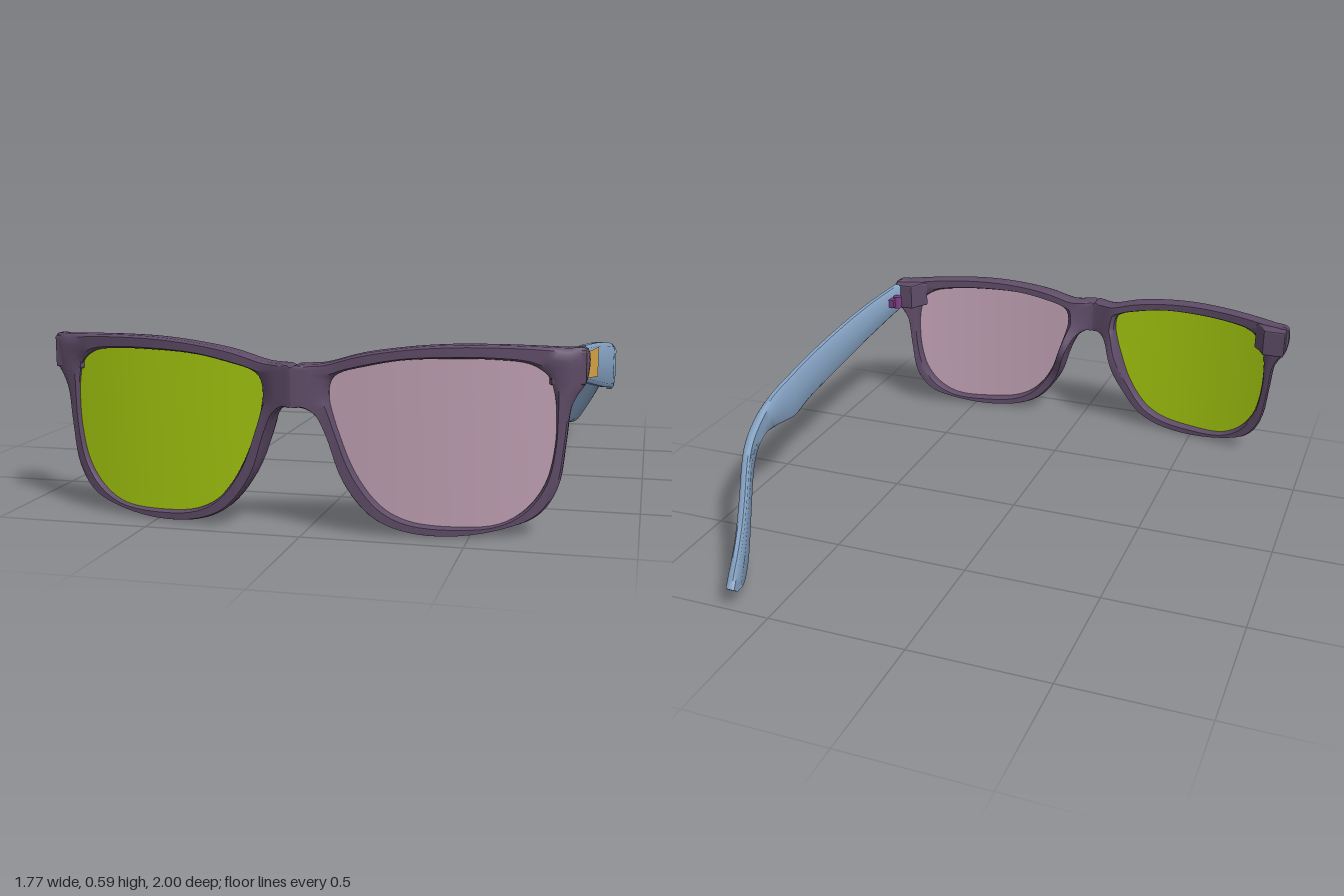
import * as THREE from 'three';
import { toCreasedNormals } from 'three/addons/utils/BufferGeometryUtils.js';

const CX = -0.025; // middle of the front frame
const { smoothstep, lerp } = THREE.MathUtils;
const mat = (color, side = THREE.FrontSide) => new THREE.MeshStandardMaterial({ color, side });

// Surface through a list of equal rings of points; each ring is closed.
function loft(rings, { flip = false, loop = false, crease = 0.85 } = {}) {
  const n = rings[0].length, index = [];
  const last = loop ? rings.length : rings.length - 1;
  for (let i = 0; i < last; i++) {
    for (let j = 0; j < n; j++) {
      const k = (i + 1) % rings.length, m = (j + 1) % n;
      const a = i * n + j, b = i * n + m, c = k * n + m, d = k * n + j;
      if (flip) index.push(a, b, d, b, c, d);
      else index.push(a, d, b, b, d, c);
    }
  }
  const g = new THREE.BufferGeometry();
  g.setAttribute('position', new THREE.Float32BufferAttribute(rings.flat().flatMap(p => p.toArray()), 3));
  g.setIndex(index);
  return toCreasedNormals(g, crease);
}

// Half of the front: outer edge (u, y) paired with lens opening (u, y)
const RIM = [
  [0, .46, .105, .46], [0, .52, .115, .485], [.09, .53, .14, .503], [.2, .56, .2, .52],
  [.33, .58, .32, .543], [.46, .59, .46, .55], [.6, .59, .6, .547], [.72, .585, .69, .535],
  [.8, .58, .735, .51], [.857, .575, .755, .485], [.858, .48, .765, .45], [.832, .437, .77, .42],
  [.815, .4, .773, .385], [.802, .29, .77, .28], [.78, .15, .745, .17], [.725, .07, .69, .09],
  [.625, .03, .61, .042], [.465, .005, .465, .033], [.32, .02, .335, .05], [.225, .066, .255, .095],
  [.14, .175, .18, .195], [.093, .31, .13, .32], [.06, .375, .112, .38], [.025, .398, .105, .41],
  [0, .402, .103, .43],
];
const closedCurve = o => new THREE.CatmullRomCurve3(
  RIM.map(r => new THREE.Vector3(r[o], r[o + 1], 0)), true);
const outerEdge = closedCurve(0), opening = closedCurve(2);
const STEPS = RIM.length * 5;

// Wrap of the front, with a bulge at the bridge and pads beside the nose
const frontZ = (u, y) => .967 - .2 * u * u - .03 * u ** 4
  + .033 * Math.exp(-((u / .06) ** 2)) - .015 * (1 - y / .59);
const thickness = u => .078 - .03 * u;
const padDepth = (u, y) => .055 * Math.exp(-(((u - .11) / .055) ** 2) - ((y - .3) / .11) ** 2);

// Rim section: across the rim (0 = lens side), and back (0) to front (1)
const RIM_SECTION = [[0, .2], [0, .78], [.15, 1], [.5, 1], [.85, 1], [1, .78], [1, .2], [.85, 0], [.5, 0], [.15, 0]];

function rimGeometry(side) {
  const rings = [];
  for (let i = 0; i < STEPS; i++) {
    const o = outerEdge.getPoint(i / STEPS), p = opening.getPoint(i / STEPS);
    o.x = Math.max(0, o.x);
    const round = smoothstep(o.x, 0, .04); // no rounding where the halves meet
    rings.push(RIM_SECTION.map(([s, f]) => {
      const u = lerp(p.x, o.x, s), y = lerp(p.y, o.y, s);
      const depth = s > .5 ? lerp(Math.round(f), f, round) : f;
      const z = frontZ(u, y) - (1 - depth) * (thickness(u) + padDepth(u, y));
      return new THREE.Vector3(CX + side * u, y, z);
    }));
  }
  return loft(rings, { loop: true, flip: side < 0 });
}

function lensGeometry(side) {
  const rings = [];
  for (let r = 0; r <= 8; r++) {
    const ring = [];
    for (let i = 0; i < STEPS; i++) {
      const p = opening.getPoint(i / STEPS);
      const u = lerp(.45, p.x, r / 8 * 1.005), y = lerp(.3, p.y, r / 8 * 1.005);
      ring.push(new THREE.Vector3(CX + side * u, y, frontZ(u, y) - .4 * thickness(u)));
    }
    rings.push(ring);
  }
  return loft(rings, { flip: side > 0 });
}

// Corner block behind the rim that carries the hinge
function endPieceGeometry(side) {
  const plan = [[.848, .725], [.85, .8], [.76, .825], [.735, .79], [.755, .765], [.775, .725]];
  const shape = new THREE.Shape(plan.map(([u, z]) => new THREE.Vector2(CX + side * u, -z)));
  const g = new THREE.ExtrudeGeometry(shape, {
    depth: .092, bevelThickness: .006, bevelSize: .006, bevelSegments: 2,
  });
  return g.rotateX(-Math.PI / 2).translate(0, .475, 0);
}

// Temple arm: sideways curve, and upper (z, y) paired with lower (z, y) edge
const armX = z => .868 - .085 * Math.max(0, z + .1) ** 2 - .24 * smoothstep(-z, .3, 1.1);
const ARM = [
  [.715, .577, .715, .465], [.465, .556, .465, .417], [.2, .524, .2, .369], [0, .497, -.03, .333],
  [-.14, .475, -.134, .31], [-.257, .455, -.257, .326], [-.417, .406, -.4, .332],
  [-.578, .364, -.524, .289], [-.71, .278, -.63, .198], [-.8, .225, -.72, .12],
  [-.87, .187, -.8, .062], [-.968, .123, -.888, .037], [-.998, .085, -.968, .06],
];
const ARM_SECTION = [[0, .5], [.08, 1], [.5, 1], [.92, 1], [1, .5], [1, -.5], [.92, -1], [.5, -1], [.08, -1], [0, -.5]];
const HALF = .016;

function armGeometry() {
  const edge = o => new THREE.CatmullRomCurve3(ARM.map(r => new THREE.Vector3(0, r[o + 1], r[o])));
  const upper = edge(0), lower = edge(2), rings = [], n = 72;
  for (let i = 0; i <= n; i++) {
    const a = upper.getPoint(i / n), b = lower.getPoint(i / n);
    rings.push(ARM_SECTION.map(([s, t]) => {
      const p = b.clone().lerp(a, s);
      p.x = armX(p.z) + t * HALF;
      return p;
    }));
  }
  // close both ends
  const cap = ring => {
    const c = ring.reduce((sum, p) => sum.add(p), new THREE.Vector3()).divideScalar(ring.length);
    return ring.map(() => c.clone());
  };
  return loft([cap(rings[0]), ...rings, cap(rings[n])]);
}

// Inlay lying on the outer face of the arm
function inlayGeometry() {
  const g = new THREE.PlaneGeometry(1, 1, 8, 1).rotateY(Math.PI / 2);
  const p = g.attributes.position;
  for (let i = 0; i < p.count; i++) {
    const t = .5 - p.getZ(i), z = lerp(.706, .524, t);
    const y = p.getY(i) > 0 ? lerp(.557, .55, t) : lerp(.476, .455, t);
    p.setXYZ(i, armX(z) + HALF + .002, y, z);
  }
  g.computeVertexNormals();
  return g;
}

export function createModel() {
  const model = new THREE.Group();
  const add = (name, geometry, material, parent = model) => {
    const mesh = new THREE.Mesh(geometry, material);
    mesh.name = name;
    parent.add(mesh);
    return mesh;
  };

  const frameMat = mat(0x5f4c68);
  const lensColor = { left: 0xc0a0b3, right: 0xa8cc10 };
  for (const [label, side] of [['left', 1], ['right', -1]]) {
    add(label + 'Rim', rimGeometry(side), frameMat);
    add(label + 'EndPiece', endPieceGeometry(side), frameMat);
    add(label + 'Lens', lensGeometry(side), mat(lensColor[label], THREE.DoubleSide));
  }

  add('leftTemple', armGeometry(), mat(0x86a3c4));
  add('templeInlay', inlayGeometry(), mat(0xdba746, THREE.DoubleSide));

  // Hinge: a small barrel on a leaf, inside the arm
  const hinge = new THREE.Group();
  hinge.name = 'hinge';
  const hingeMat = mat(0x7d3f88);
  add('hingeBarrel', new THREE.CylinderGeometry(.017, .017, .05, 16), hingeMat, hinge).position.set(.783, .52, .655);
  add('hingeLeaf', new THREE.BoxGeometry(.025, .035, .07), hingeMat, hinge).position.set(.799, .52, .655);
  model.add(hinge);

  return model;
}
